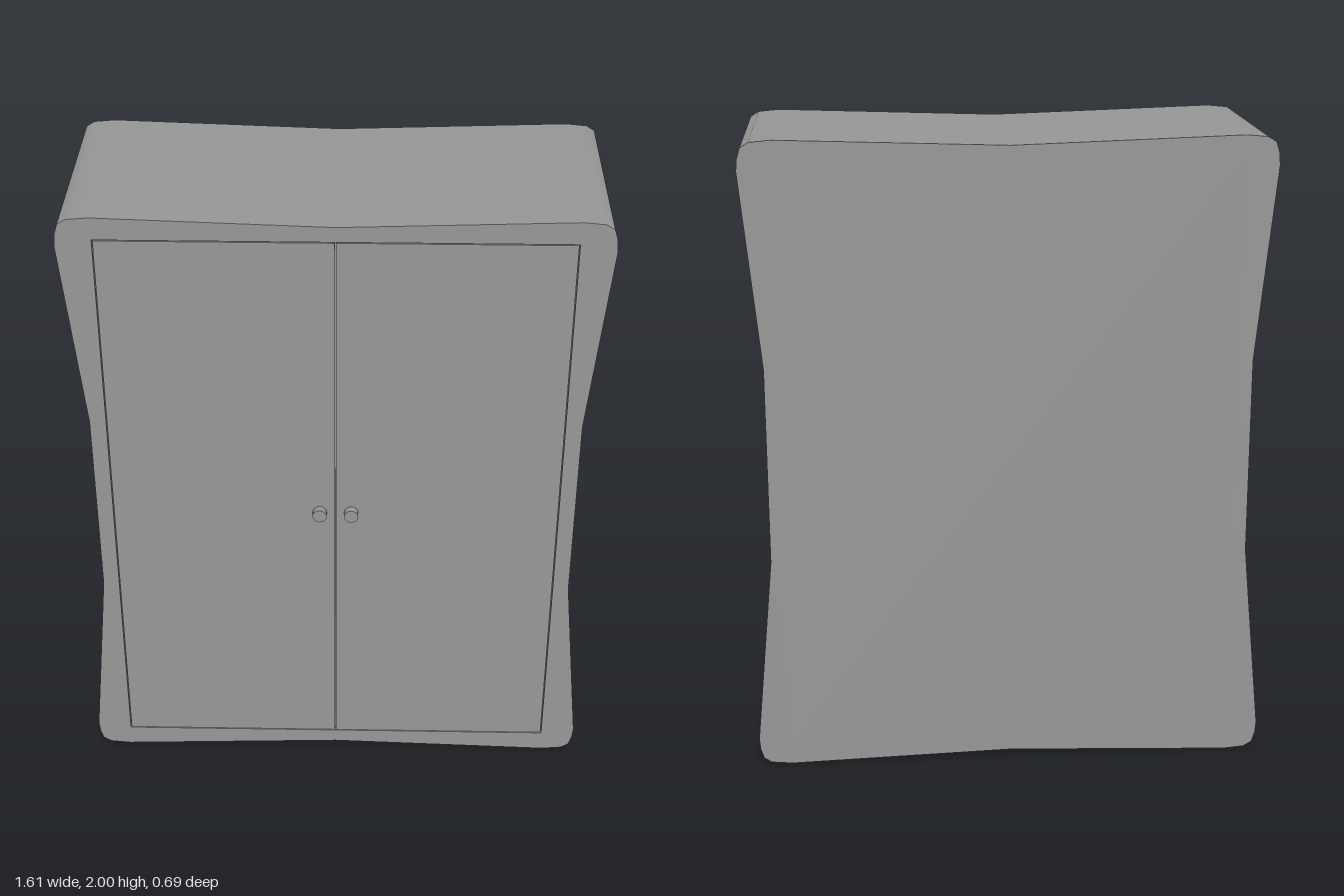
import * as THREE from 'three';
import { toCreasedNormals } from 'three/addons/utils/BufferGeometryUtils.js';

const BACK = -0.343, FRONT = 0.32;
const OPEN_X = 0.695, OPEN_BOTTOM = 0.07, OPEN_TOP = 1.93;
const GAP = 0.003;

// Pinched outline with blunt corners: one quarter mirrored four ways
function outline() {
  const quarter = [
    [0.745, 0.31], [0.803, 0.91], [0.8, 0.945], [0.79, 0.978],
    [0.765, 0.994], [0.7, 1], [0, 0.977],
  ];
  const top = [...quarter, ...quarter.slice(0, -1).reverse().map(([x, y]) => [-x, y])];
  const bottom = top.map(([x, y]) => [-x, -y]);
  return [...top, ...bottom].map(([x, y]) => new THREE.Vector2(x, y + 1));
}

export function createModel() {
  const group = new THREE.Group();
  const material = new THREE.MeshStandardMaterial({ color: 0x999999 });
  const add = (name, geometry, x, y, z) => {
    const mesh = new THREE.Mesh(geometry, material);
    mesh.name = name;
    mesh.position.set(x, y, z);
    group.add(mesh);
    return mesh;
  };

  // Carcass with a rectangular front opening
  const shape = new THREE.Shape(outline());
  shape.holes.push(new THREE.Path([
    new THREE.Vector2(-OPEN_X, OPEN_BOTTOM), new THREE.Vector2(-OPEN_X, OPEN_TOP),
    new THREE.Vector2(OPEN_X, OPEN_TOP), new THREE.Vector2(OPEN_X, OPEN_BOTTOM),
  ]));
  const carcass = new THREE.ExtrudeGeometry(shape, { depth: FRONT - BACK, bevelEnabled: false });
  add('carcass', toCreasedNormals(carcass, 0.6), 0, 0, BACK);

  // Back panel closing the carcass
  const openHeight = OPEN_TOP - OPEN_BOTTOM, midY = (OPEN_TOP + OPEN_BOTTOM) / 2;
  add('backPanel', new THREE.BoxGeometry(OPEN_X * 2, openHeight, 0.04), 0, midY, BACK + 0.02);

  // Pair of flush doors with round knobs
  const doorWidth = OPEN_X - GAP * 1.5, doorDepth = 0.04;
  const knobLength = 0.343 - FRONT;
  for (const [side, s] of [['left', 1], ['right', -1]]) {
    add(side + 'Door', new THREE.BoxGeometry(doorWidth, openHeight - GAP * 2, doorDepth),
      s * (GAP / 2 + doorWidth / 2), midY, FRONT - doorDepth / 2);
    const knob = add(side + 'Knob', new THREE.CylinderGeometry(0.022, 0.022, knobLength, 24),
      s * 0.049, 0.982, FRONT + knobLength / 2);
    knob.rotation.x = Math.PI / 2;
  }
  return group;
}
